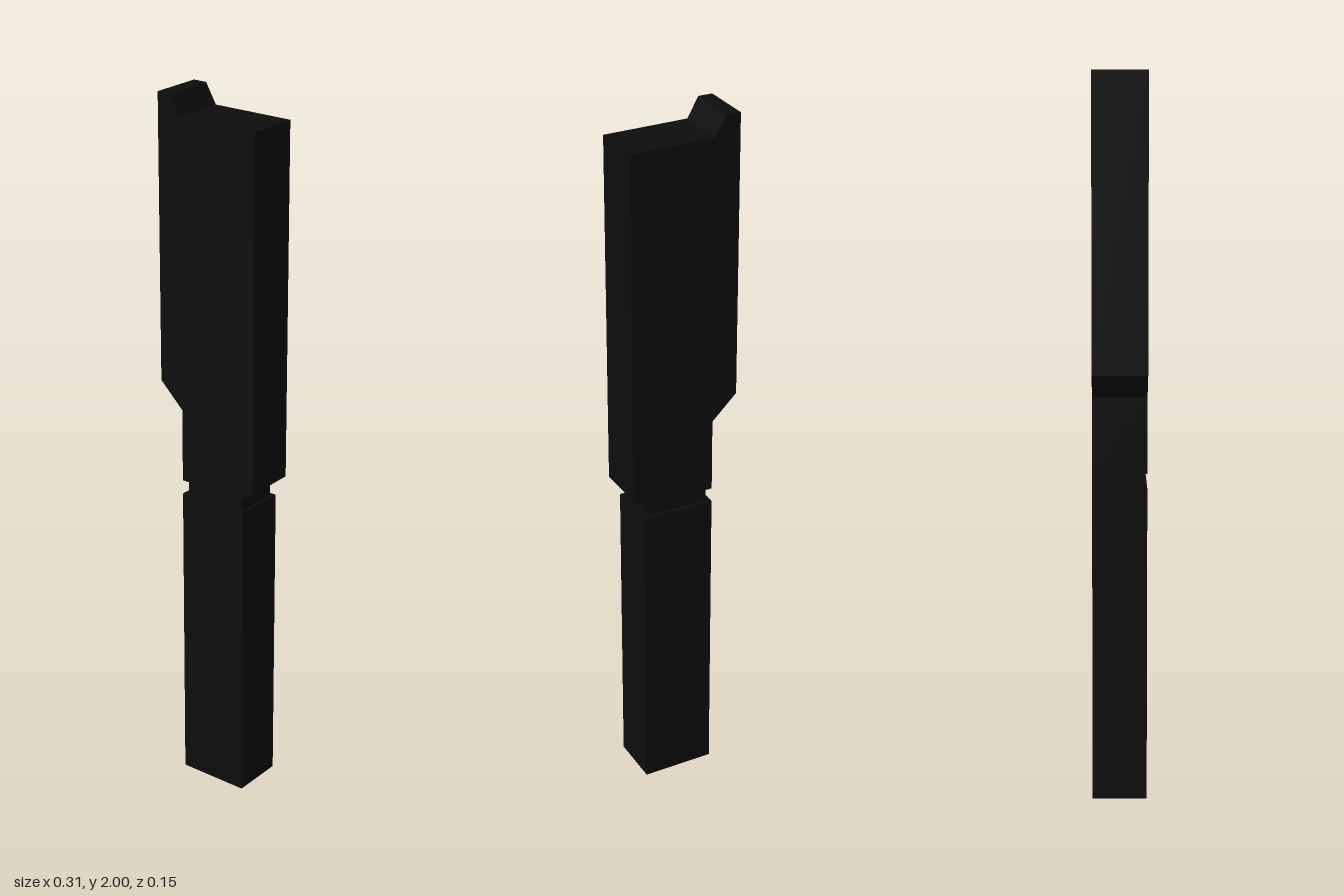
import * as THREE from 'three';

const DEPTH = 0.15;

export function createModel() {
  const group = new THREE.Group();
  const material = new THREE.MeshStandardMaterial({ color: 0x0d0d0d, flatShading: true });

  const add = (name, geometry) => {
    const mesh = new THREE.Mesh(geometry, material);
    mesh.name = name;
    group.add(mesh);
    return mesh;
  };

  // Rectangular block spanning x0..x1 and y0..y1, centred in z
  const block = (name, x0, x1, y0, y1, depth) =>
    add(name, new THREE.BoxGeometry(x1 - x0, y1 - y0, depth))
      .position.set((x0 + x1) / 2, (y0 + y1) / 2, 0);

  // Handle and the narrow neck above it
  block('handle', -0.084, 0.123, 0, 0.88, DEPTH);
  block('neck', -0.072, 0.112, 0.88, 0.92, 0.126);

  // Wide blade with a hooked tip, stepped edge and bevelled heel
  const outline = [
    [-0.084, 0.92], [0.115, 0.92], [0.156, 0.945], [0.156, 1.945],
    [-0.084, 1.945], [-0.116, 2], [-0.156, 2], [-0.156, 1.2], [-0.084, 1.13],
  ].map(([x, y]) => new THREE.Vector2(x, y));
  const blade = new THREE.ExtrudeGeometry(new THREE.Shape(outline), { depth: DEPTH, bevelEnabled: false });
  add('blade', blade.translate(0, 0, -DEPTH / 2));

  return group;
}
